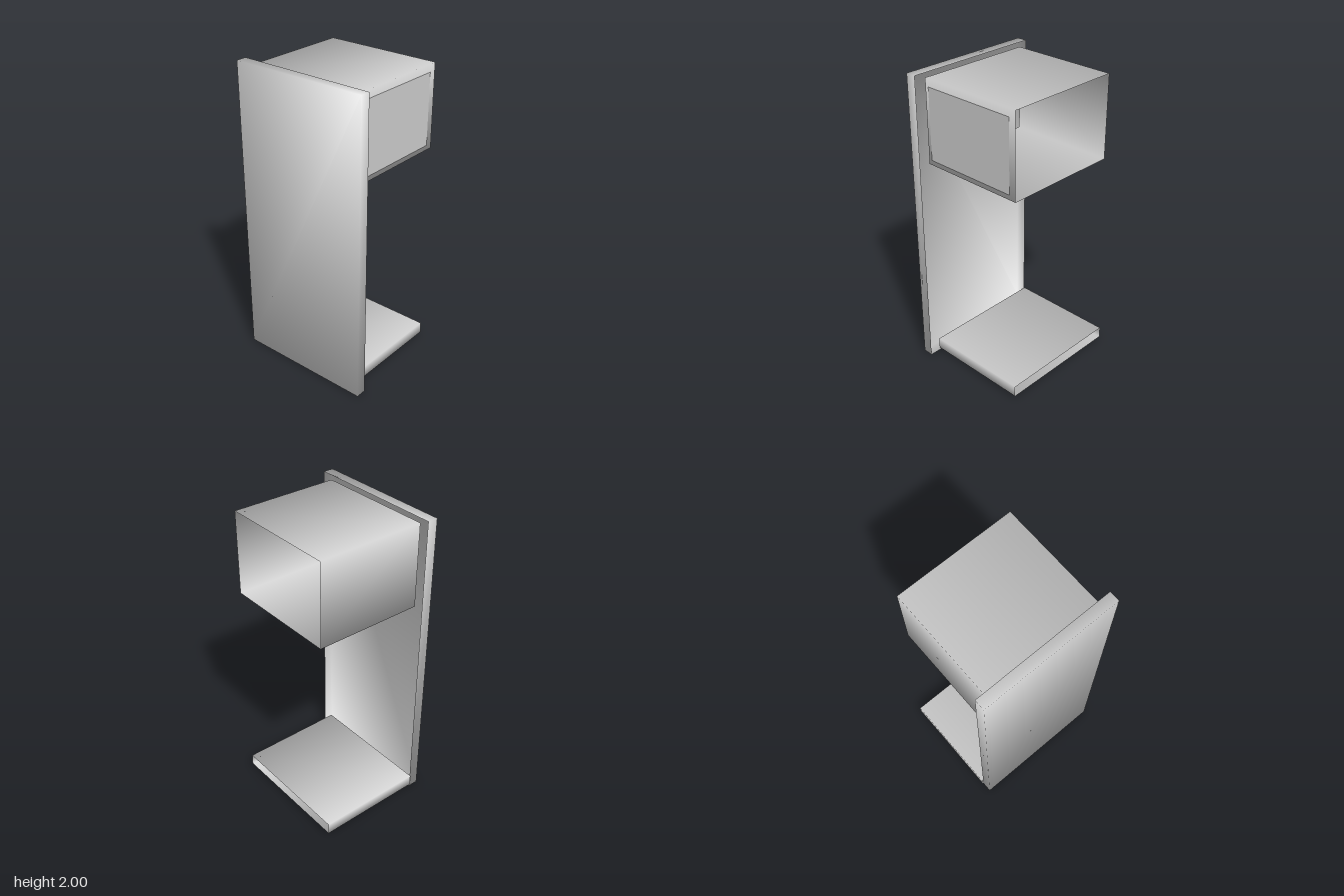
import * as THREE from 'three';

const material = new THREE.MeshStandardMaterial({ color: 0xcccccc, side: THREE.DoubleSide });

// Thin shell between two corners: four walls around z, open at the back and,
// unless closedFront is set, at the front too. Shading blends across its edges.
function shell(min, max, closedFront = false) {
  const size = max.map((v, i) => v - min[i]);
  const g = new THREE.BoxGeometry(...size);
  g.setIndex(Array.from(g.index.array).slice(0, closedFront ? 30 : 24));
  g.clearGroups();
  const { position, normal } = g.attributes;
  const n = new THREE.Vector3();
  for (let i = 0; i < position.count; i++) {
    const atFront = closedFront && position.getZ(i) > 0;
    n.set(Math.sign(position.getX(i)), Math.sign(position.getY(i)), atFront ? 1 : 0).normalize();
    normal.setXYZ(i, n.x, n.y, n.z);
  }
  return g.translate(...min.map((v, i) => (v + max[i]) / 2));
}

export function createModel() {
  const model = new THREE.Group();
  const add = (name, geometry) => {
    const mesh = new THREE.Mesh(geometry, material);
    mesh.name = name;
    model.add(mesh);
  };

  // Tall upright panel, hollow from behind
  add('frontPanel', shell([-0.46, 0, 0.325], [0.466, 2, 0.395], true));

  // Upper compartment, a sleeve open at both ends
  add('upperCompartment', shell([-0.4, 1.422, -0.395], [0.39, 1.97, 0.325]));

  // Flat cover lying on the compartment's left wall
  const cover = new THREE.PlaneGeometry(0.648, 0.467);
  cover.rotateY(Math.PI / 2).translate(0.391, 1.687, -0.024);
  add('sideCover', cover);

  // Low shelf at the foot, a flat sleeve
  add('lowerShelf', shell([-0.467, 0.02, -0.395], [0.39, 0.096, 0.325]));

  return model;
}
